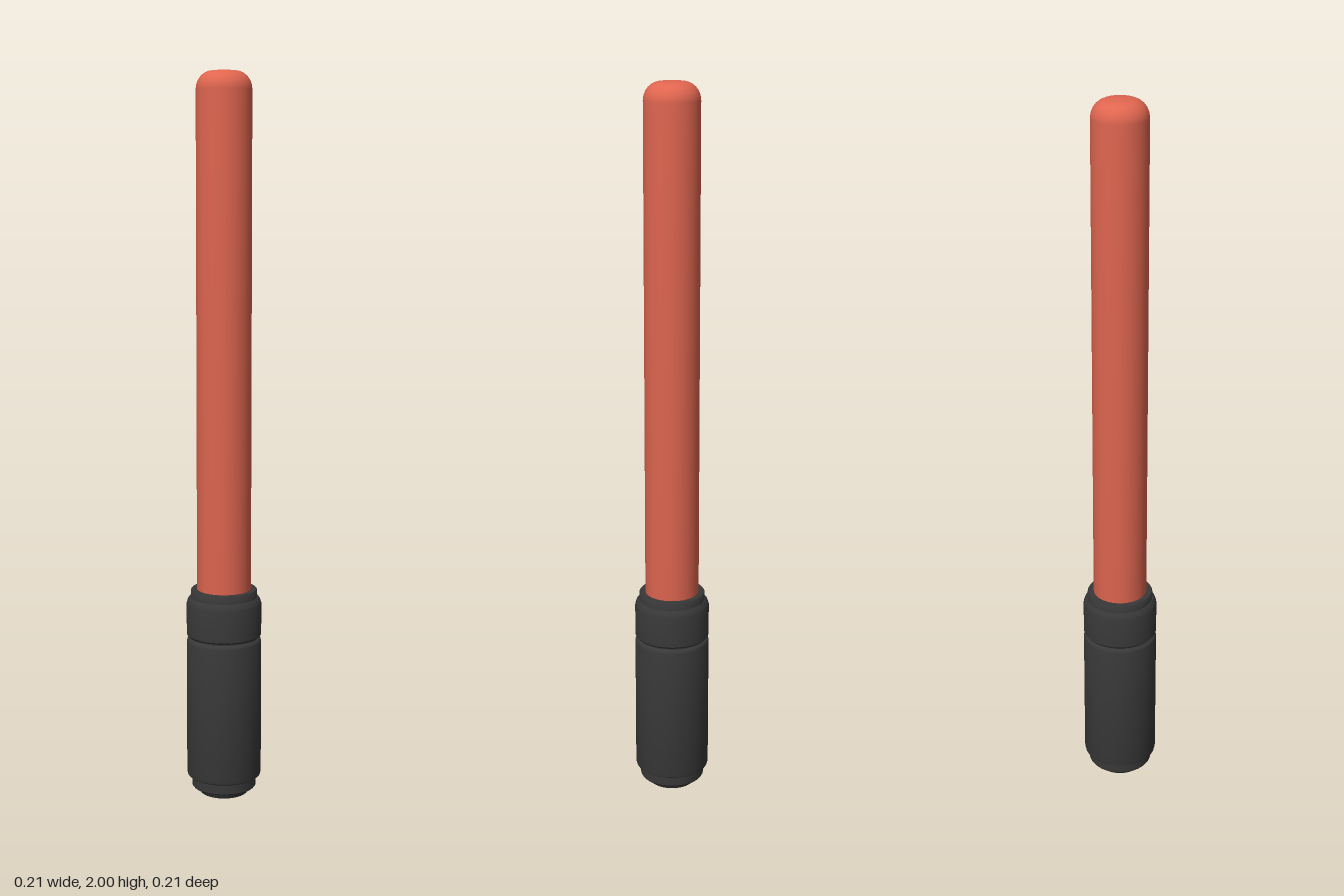
import * as THREE from 'three';
import { toCreasedNormals } from 'three/addons/utils/BufferGeometryUtils.js';

const SEGMENTS = 48;

// Turned part from [radius, height] pairs, listed bottom to top
function turned(name, profile, color, crease) {
  const points = profile.map(([r, y]) => new THREE.Vector2(r, y));
  let geometry = new THREE.LatheGeometry(points, SEGMENTS);
  if (crease) geometry = toCreasedNormals(geometry, crease);
  const mesh = new THREE.Mesh(geometry, new THREE.MeshStandardMaterial({ color }));
  mesh.name = name;
  return mesh;
}

export function createModel() {
  const group = new THREE.Group();
  group.name = 'lightWand';
  const black = 0x383838;
  const red = 0xe06650;

  // Stepped end cap
  group.add(turned('endCap', [
    [0, 0], [0.066, 0], [0.072, 0.008], [0.074, 0.018],
    [0.087, 0.018], [0.09, 0.022], [0.09, 0.06], [0, 0.06],
  ], black, 0.6));

  // Main grip with softened rims
  group.add(turned('grip', [
    [0, 0.05], [0.096, 0.05], [0.102, 0.054], [0.104, 0.062],
    [0.104, 0.44], [0.102, 0.447], [0.096, 0.452], [0, 0.452],
  ], black, 0.6));

  // Narrow neck showing as the groove between grip and collar
  group.add(turned('neck', [[0.095, 0.445], [0.095, 0.465]], black));

  // Switch collar
  group.add(turned('collar', [
    [0, 0.457], [0.1, 0.457], [0.104, 0.462],
    [0.104, 0.55], [0.101, 0.56], [0.095, 0.568], [0, 0.568],
  ], black, 0.6));

  // Thin ring holding the tube
  group.add(turned('tubeRing', [
    [0.092, 0.56], [0.092, 0.587], [0.09, 0.59], [0.072, 0.59],
  ], black, 0.6));

  // Glowing tube with a rounded tip, shaded smoothly throughout
  const tip = [];
  const tipRadius = 0.045;
  for (let i = 0; i <= 6; i++) {
    const a = (i / 6) * Math.PI / 2;
    tip.push([0.03 + tipRadius * Math.cos(a), 1.95 + 0.048 * Math.sin(a)]);
  }
  group.add(turned('tube', [[0, 0.57], [0.075, 0.57], ...tip, [0, 2]], red));

  return group;
}
